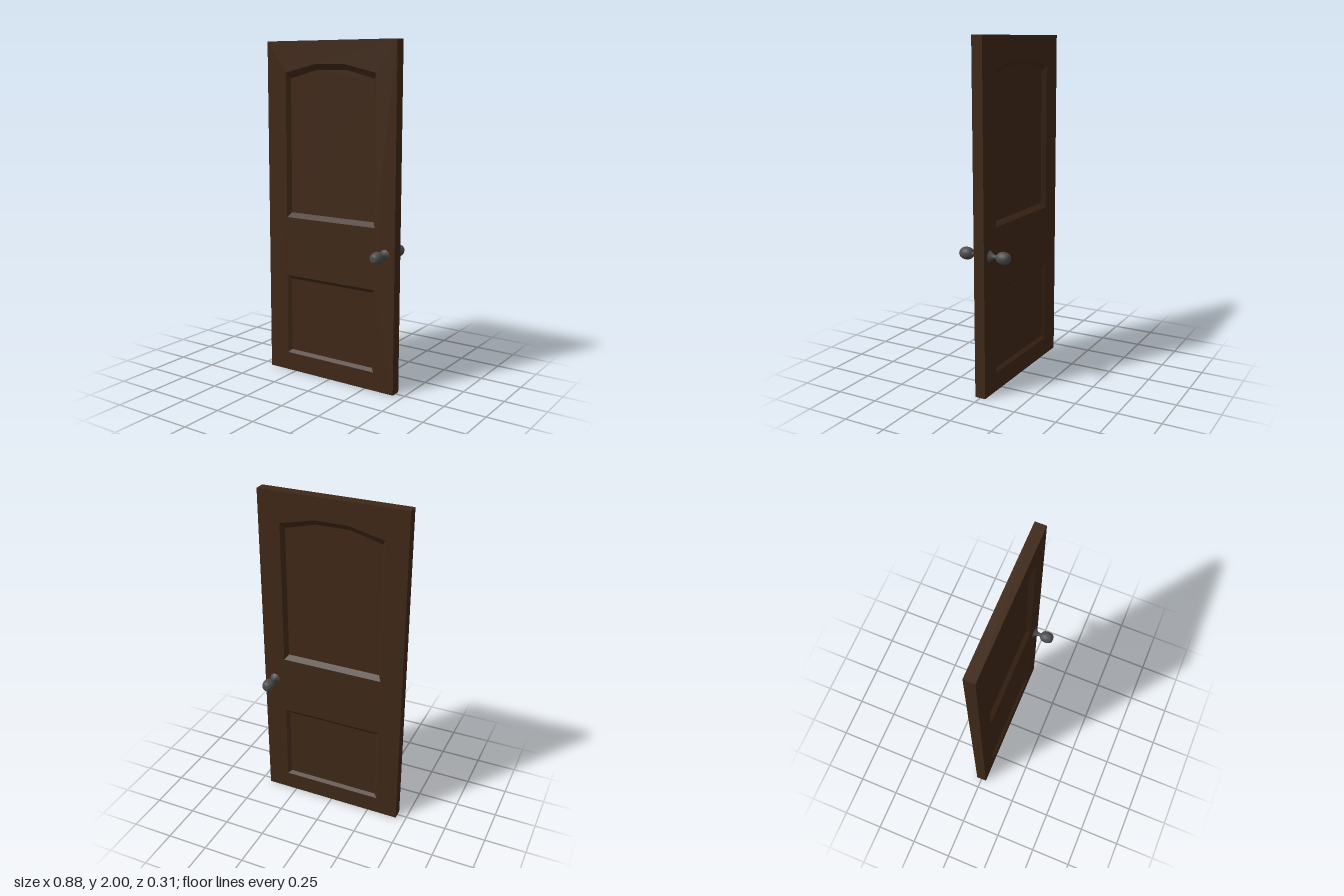
import * as THREE from 'three';

const W = 0.44, H = 2, T = 0.032;
const wood = new THREE.MeshStandardMaterial({ color: 0x3f2817, flatShading: true });
const metal = new THREE.MeshStandardMaterial({ color: 0x4d4d4d });

const rect = (w, y0, y1) => [[-w, y0], [w, y0], [w, y1], [-w, y1]];
const arch = (w, y0, y1, top) => [[-w, y0], [w, y0], [w, y1], [0.1, top], [-0.1, top], [-w, y1]];

const outline = rect(W, 0, H);
const panels = [
  { name: 'upperPanel', outer: arch(0.308, 0.963, 1.82, 1.868), inner: arch(0.288, 0.99, 1.787, 1.836), depth: 0.025 },
  { name: 'lowerPanel', outer: rect(0.308, 0.111, 0.603), inner: rect(0.288, 0.13, 0.582), depth: 0.016 },
];

const toPoints = (loop) => loop.map(([x, y]) => new THREE.Vector2(x, y));

// Flat face filling a loop, with optional holes, at height z
function face(loop, z, holes = []) {
  const shape = new THREE.Shape(toPoints(loop));
  holes.forEach((h) => shape.holes.push(new THREE.Path(toPoints(h))));
  return new THREE.ShapeGeometry(shape).translate(0, 0, z);
}

// Band of quads joining two loops with the same number of corners
function band(a, za, b, zb) {
  const pos = [];
  a.forEach((_, i) => {
    const j = (i + 1) % a.length;
    const p = [...a[i], za], q = [...a[j], za], r = [...b[j], zb], s = [...b[i], zb];
    pos.push(...p, ...q, ...r, ...p, ...r, ...s);
  });
  const geo = new THREE.BufferGeometry();
  geo.setAttribute('position', new THREE.Float32BufferAttribute(pos, 3));
  geo.computeVertexNormals();
  return geo;
}

function add(parent, name, geo, material) {
  const mesh = new THREE.Mesh(geo, material);
  mesh.name = name;
  parent.add(mesh);
  return mesh;
}

// One side of the door: frame face, bevelled mouldings and sunken panels
function doorSide(name) {
  const side = new THREE.Group();
  side.name = name;
  add(side, 'frameFace', face(outline, T, panels.map((p) => p.outer)), wood);
  for (const p of panels) {
    add(side, p.name + 'Moulding', band(p.outer, T, p.inner, T - p.depth), wood);
    add(side, p.name, face(p.inner, T - p.depth), wood);
  }
  return side;
}

// Turned knob: flared base, thin neck and rounded grip, pointing along +z
function knobGeometry() {
  const base = [[0.036, 0.028], [0.031, 0.033], [0.023, 0.041], [0.016, 0.051], [0.012, 0.062], [0.011, 0.077]];
  const grip = [[0.018, 0.079], [0.026, 0.085], [0.032, 0.095], [0.0355, 0.108], [0.0355, 0.121],
    [0.033, 0.135], [0.027, 0.147], [0.02, 0.154], [0.012, 0.156], [0, 0.156]];
  return new THREE.LatheGeometry(toPoints([...base, ...grip]), 24).rotateX(Math.PI / 2);
}

export function createModel() {
  const door = new THREE.Group();
  door.name = 'door';

  add(door, 'doorEdges', band(outline, -T, outline, T), wood);
  const front = doorSide('frontSide');
  const back = doorSide('backSide');
  back.rotation.y = Math.PI;
  door.add(front, back);

  const knob = knobGeometry();
  ['frontKnob', 'backKnob'].forEach((name, i) => {
    const mesh = add(door, name, knob, metal);
    mesh.position.set(0.375, 0.815, 0);
    mesh.rotation.y = i * Math.PI;
  });
  return door;
}
